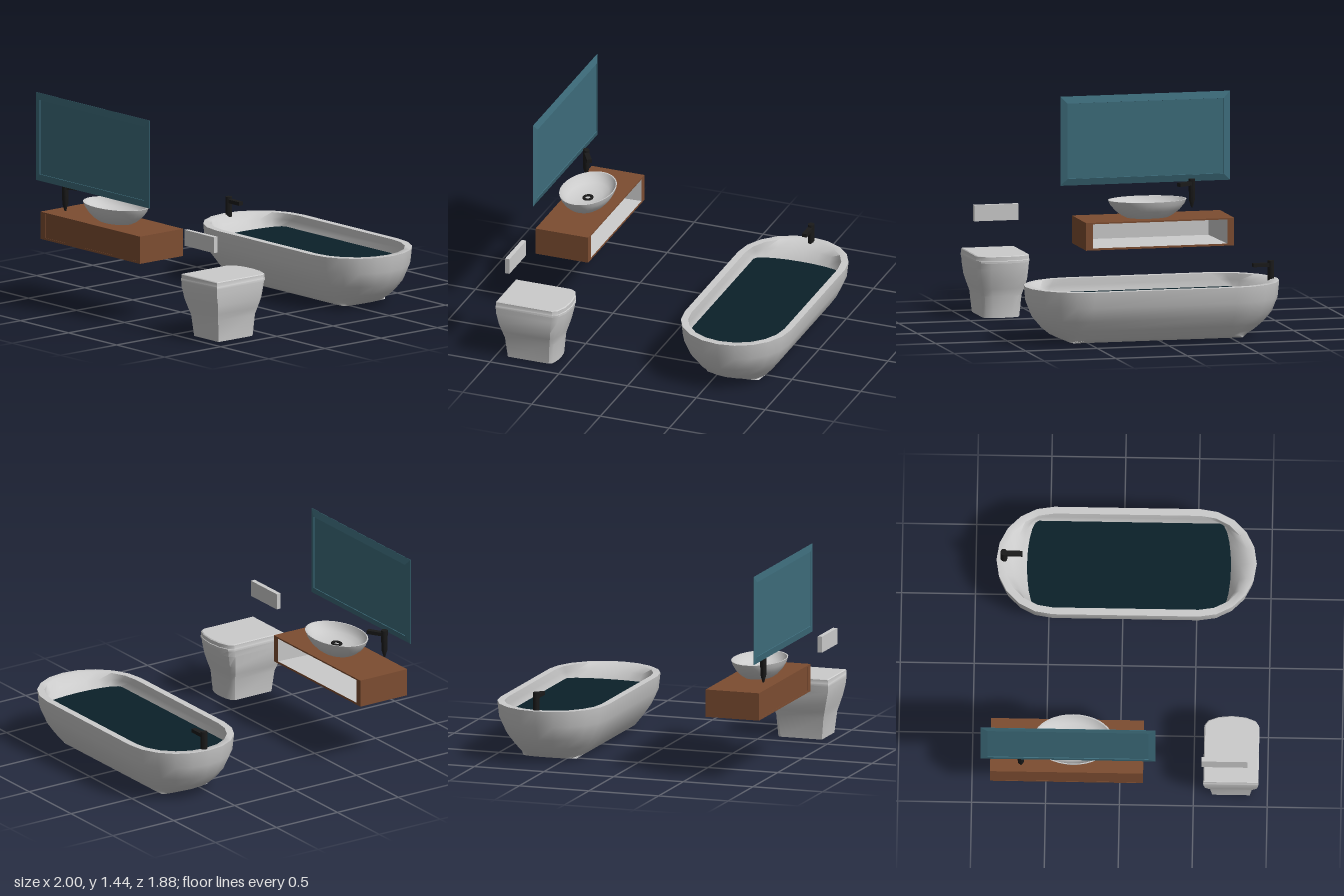
import * as THREE from 'three';
import { toCreasedNormals } from 'three/addons/utils/BufferGeometryUtils.js';

const mat = (color, side = THREE.FrontSide) => new THREE.MeshStandardMaterial({ color, side });
const ceramic = mat(0xcccccc);
const wood = mat(0x7d4d31);
const black = mat(0x1a1a1a);
const glass = mat(0x3d6c7b);
const waterMat = mat(0x0b2029, THREE.DoubleSide);

function add(parent, name, geometry, material, x = 0, y = 0, z = 0) {
  const mesh = new THREE.Mesh(geometry, material);
  mesh.name = name;
  mesh.position.set(x, y, z);
  parent.add(mesh);
  return mesh;
}

// Skin a list of closed rings of [x, y, z]; ends are closed with fans
function loft(rings, { capStart = true, crease = 0.6 } = {}) {
  const n = rings[0].length;
  const pos = rings.flat(2);
  const index = [];
  for (let i = 0; i < rings.length - 1; i++) {
    for (let j = 0; j < n; j++) {
      const k = (j + 1) % n;
      const a = i * n + j, b = i * n + k, c = b + n, d = a + n;
      index.push(a, b, c, a, c, d);
    }
  }
  const fan = (i, flip) => {
    const mid = [0, 1, 2].map((c) => rings[i].reduce((s, p) => s + p[c], 0) / n);
    const m = pos.length / 3;
    pos.push(...mid);
    for (let j = 0; j < n; j++) {
      const a = i * n + j, b = i * n + (j + 1) % n;
      index.push(m, flip ? b : a, flip ? a : b);
    }
  };
  if (capStart) fan(0, true);
  fan(rings.length - 1, false);
  const g = new THREE.BufferGeometry();
  g.setAttribute('position', new THREE.Float32BufferAttribute(pos, 3));
  g.setIndex(index);
  return toCreasedNormals(g, crease);
}

// Upright rectangle facing +x
const rectRing = (x, z0, z1, y0, y1) => [[x, y0, z1], [x, y0, z0], [x, y1, z0], [x, y1, z1]];

// Horizontal oblong: half width w, half straight length l, rounded ends of depth e
function oblongRing([y, w, l, e]) {
  const ring = [];
  for (const s of [1, -1]) {
    for (let i = 0; i <= 10; i++) {
      const t = Math.PI * i / 10;
      ring.push([-s * w * Math.cos(t), y, s * (l + e * Math.sin(t))]);
    }
  }
  return ring;
}

// Toilet outline: straight back and sides, bowed front
function toiletRing([y, back, corner, front, w]) {
  const ring = [[back, y, w]];
  for (let i = 0; i <= 6; i++) {
    const t = Math.PI * (0.5 - i / 6);
    ring.push([corner + (front - corner) * Math.cos(t), y, w * Math.sin(t)]);
  }
  ring.push([back, y, -w]);
  return ring;
}

// Tap with its flat spout along +z
function tap(name, profile, spoutY) {
  const g = new THREE.Group();
  g.name = name;
  const points = profile.map(([r, y]) => new THREE.Vector2(r, y));
  add(g, 'tapBody', toCreasedNormals(new THREE.LatheGeometry(points, 12), 0.6), black);
  add(g, 'tapSpout', new THREE.BoxGeometry(0.034, 0.025, 0.135), black, 0, spoutY, 0.0575);
  return g;
}

function bathtub() {
  const g = new THREE.Group();
  g.name = 'bathtub';
  const levels = [
    // outer shell: squared foot, then rounded up to the rim
    [0.01, 0.19, 0.585, 0.03], [0.03, 0.22, 0.515, 0.15], [0.055, 0.245, 0.49, 0.225], [0.1, 0.28, 0.49, 0.28],
    [0.17, 0.327, 0.497, 0.333], [0.27, 0.374, 0.495, 0.375], [0.38, 0.387, 0.494, 0.387],
    // inner shell, rim to floor
    [0.38, 0.338, 0.493, 0.338], [0.335, 0.33, 0.56, 0.21], [0.285, 0.318, 0.63, 0.077],
    [0.12, 0.25, 0.5, 0.14], [0.06, 0.17, 0.48, 0.07],
  ];
  add(g, 'tubShell', loft(levels.map(oblongRing), { crease: 1.2 }), ceramic);
  // water surface
  const outline = oblongRing([0, 0.317, 0.615, 0.075]).map(([x, , z]) => new THREE.Vector2(x, -z));
  const water = add(g, 'water', new THREE.ShapeGeometry(new THREE.Shape(outline)), waterMat, 0, 0.29, 0.016);
  water.rotation.x = -Math.PI / 2;
  g.position.set(0.612, 0, 0.021);
  return g;
}

function cabinet() {
  const g = new THREE.Group();
  g.name = 'cabinet';
  // wooden tube, open towards +x
  const rect = (P, a, b, c, d) => {
    const p = new P();
    p.moveTo(a, c).lineTo(b, c).lineTo(b, d).lineTo(a, d).closePath();
    return p;
  };
  const shape = rect(THREE.Shape, -0.16, 0.875, 0.432, 0.621);
  shape.holes.push(rect(THREE.Path, -0.112, 0.827, 0.446, 0.611));
  const frame = add(g, 'cabinetFrame', new THREE.ExtrudeGeometry(shape, { depth: 0.383, bevelEnabled: false }), wood, -1);
  frame.rotation.y = Math.PI / 2;
  add(g, 'cabinetBack', new THREE.BoxGeometry(0.015, 0.187, 1.03), wood, -0.991, 0.5265, -0.3575);
  // tapered grey inside
  add(g, 'cabinetLining', loft([
    rectRing(-0.618, -0.827, 0.112, 0.446, 0.611),
    rectRing(-0.965, -0.785, 0.063, 0.46, 0.601),
  ], { capStart: false, crease: 0.1 }), ceramic);
  return g;
}

function basin() {
  const g = new THREE.Group();
  g.name = 'basin';
  const profile = [
    [0, 0.591], [0.06, 0.594], [0.12, 0.609], [0.18, 0.639], [0.225, 0.673], [0.257, 0.711], [0.271, 0.742],
    [0.26, 0.742], [0.237, 0.712], [0.2, 0.69], [0.14, 0.674], [0.07, 0.667], [0, 0.666],
  ].map(([r, y]) => new THREE.Vector2(r, y));
  const bowl = add(g, 'basinBowl', toCreasedNormals(new THREE.LatheGeometry(profile, 36), 0.8), ceramic);
  bowl.scale.x = 0.67;
  const drain = add(g, 'drainRing', new THREE.TorusGeometry(0.034, 0.012, 10, 24), black, 0, 0.673, 0);
  drain.rotation.x = Math.PI / 2;
  drain.scale.set(0.8, 1, 0.6);
  g.position.set(-0.806, 0, -0.316);
  return g;
}

function mirror() {
  // bevelled border with a sunken pane on both faces
  const ring = (x, inset) => rectRing(x, -0.94 + inset, 0.245 - inset, 0.828 + inset, 1.437 - inset);
  const rings = [
    ring(-0.987, 0.048), ring(-0.992, 0.047), ring(-0.986, 0), ring(-0.984, 0),
    ring(-0.969, 0.047), ring(-0.974, 0.048),
  ];
  const mesh = new THREE.Mesh(loft(rings, { crease: 0.1 }), glass);
  mesh.name = 'mirror';
  return mesh;
}

function toilet() {
  const g = new THREE.Group();
  g.name = 'toilet';
  const body = [
    [0, -0.917, -0.62, -0.578, 0.127], [0.15, -0.933, -0.61, -0.566, 0.141],
    [0.2, -0.947, -0.6, -0.55, 0.158], [0.26, -0.963, -0.59, -0.53, 0.175],
    [0.34, -0.98, -0.582, -0.509, 0.183], [0.382, -0.983, -0.578, -0.503, 0.185],
  ];
  const lid = [
    [0.382, -0.984, -0.573, -0.498, 0.187], [0.397, -0.984, -0.573, -0.498, 0.187],
    [0.4, -0.982, -0.573, -0.503, 0.185], [0.426, -0.982, -0.573, -0.503, 0.185],
    [0.431, -0.976, -0.576, -0.51, 0.179],
  ];
  add(g, 'toiletBody', loft(body.map(toiletRing)), ceramic);
  add(g, 'toiletLid', loft(lid.map(toiletRing)), ceramic);
  g.position.z = 0.754;
  return g;
}

export function createModel() {
  const model = new THREE.Group();
  model.name = 'bathroomSet';
  model.add(bathtub(), cabinet(), basin(), mirror(), toilet());
  add(model, 'flushPlate', new THREE.BoxGeometry(0.032, 0.11, 0.31), ceramic, -0.928, 0.672, 0.71);

  const tubTap = tap('tubTap', [[0, 0.34], [0.023, 0.34], [0.023, 0.503], [0, 0.503]], 0.474);
  tubTap.position.set(0.622, 0, -0.81);
  const basinTap = tap('basinTap', [[0, 0.652], [0.006, 0.654], [0.021, 0.707], [0.023, 0.847], [0, 0.847]], 0.818);
  basinTap.position.set(-0.957, 0, -0.667);
  basinTap.rotation.y = 0.54;
  model.add(tubTap, basinTap);
  return model;
}
